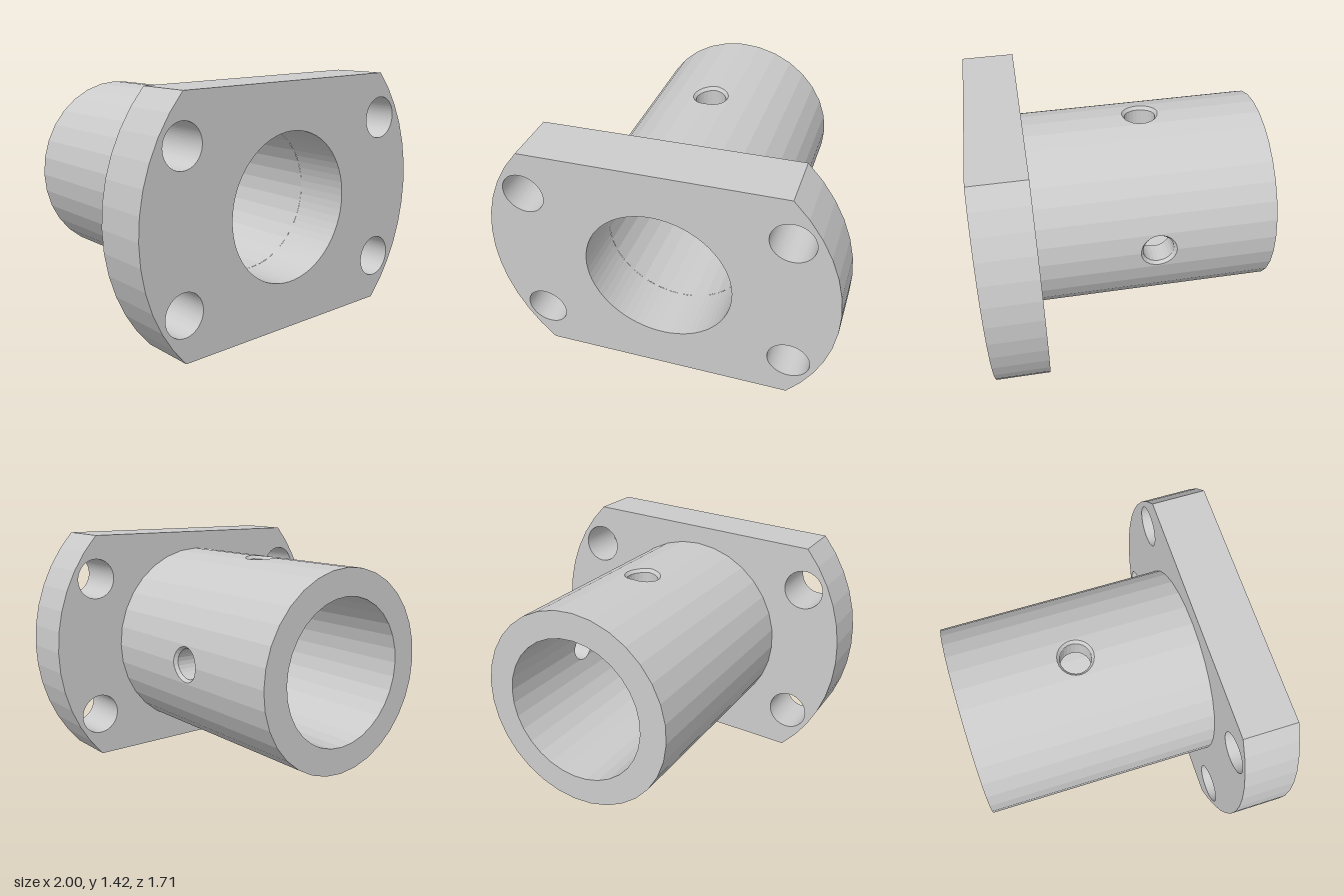
import * as THREE from 'three';

const SIDES = 32, STEP = 2 * Math.PI / SIDES;
const R_OUT = 0.575, R_BORE = 0.42;
const BACK = -0.842, SHOULDER = 0.527, FRONT = 0.842;
const PORT_Z = -0.157, PORTS = [0, Math.PI / 2]; // side port and top port
const RIM_R = 0.104, PORT_R = 0.089, RIM_DEPTH = 0.02, PORT_SIDES = 24;

const material = new THREE.MeshStandardMaterial({ color: 0xcccccc, flatShading: true });

function mesh(name, geometry) {
  const m = new THREE.Mesh(geometry, material);
  m.name = name;
  return m;
}

function fromQuads(quads) {
  const pos = [];
  for (const [a, b, c, d] of quads) for (const p of [a, b, c, a, c, d]) pos.push(...p);
  const g = new THREE.BufferGeometry();
  g.setAttribute('position', new THREE.Float32BufferAttribute(pos, 3));
  g.computeVertexNormals();
  return g;
}

// Point on a faceted cylinder of the given radius
function onTube(radius, angle, z) {
  const off = angle - (Math.floor(angle / STEP + 1e-6) + 0.5) * STEP;
  const r = radius * Math.cos(STEP / 2) / Math.cos(off);
  return [r * Math.cos(angle), r * Math.sin(angle), z];
}

// Tube wall made of lengthwise strips, each split around the round port openings
function wall(radius, hole, inward) {
  let angles = [];
  for (let i = 0; i <= SIDES; i++) angles.push(i * STEP - Math.PI / 4);
  for (const c of PORTS) {
    for (let k = 0; k <= PORT_SIDES / 2; k++) {
      angles.push(c + Math.asin(hole * Math.cos(k * 2 * Math.PI / PORT_SIDES) / radius));
    }
  }
  angles.sort((a, b) => a - b);
  angles = angles.filter((a, i) => i === 0 || a - angles[i - 1] > 1e-5);

  const halfGap = (angle) => {
    let s = 0;
    for (const c of PORTS) {
      if (Math.abs(angle - c) > 1) continue;
      const x = radius * Math.sin(angle - c);
      s = Math.max(s, Math.sqrt(Math.max(0, hole * hole - x * x)));
    }
    return s;
  };

  const quads = [];
  for (let i = 0; i < angles.length - 1; i++) {
    const a = angles[i], b = angles[i + 1];
    const ga = halfGap(a), gb = halfGap(b);
    const P = (angle, z) => onTube(radius, angle, z);
    for (const q of [
      [P(a, BACK), P(b, BACK), P(b, PORT_Z - gb), P(a, PORT_Z - ga)],
      [P(a, PORT_Z + ga), P(b, PORT_Z + gb), P(b, SHOULDER), P(a, SHOULDER)],
    ]) quads.push(inward ? q.reverse() : q);
  }
  return fromQuads(quads);
}

// Chamfered rim and straight side of one radial port
function portWall(centre) {
  const rings = [[R_OUT, RIM_R], [R_OUT - RIM_DEPTH, PORT_R], [R_BORE, PORT_R]];
  const P = ([radius, hole], k) => {
    const t = k * 2 * Math.PI / PORT_SIDES;
    return onTube(radius, centre + Math.asin(hole * Math.cos(t) / radius), PORT_Z + hole * Math.sin(t));
  };
  const quads = [];
  for (let j = 0; j < rings.length - 1; j++) {
    for (let k = 0; k < PORT_SIDES; k++) {
      quads.push([P(rings[j], k), P(rings[j], k + 1), P(rings[j + 1], k + 1), P(rings[j + 1], k)]);
    }
  }
  return fromQuads(quads);
}

// Round plate with two flats, a central bore and four bolt holes
function flangeGeometry() {
  const half = Math.asin(0.685), pts = [];
  for (const side of [0, Math.PI]) {
    for (let i = 0; i <= 12; i++) {
      const a = side - half + 2 * half * i / 12;
      pts.push(new THREE.Vector2(Math.cos(a), Math.sin(a)));
    }
  }
  const shape = new THREE.Shape(pts);
  const circle = (x, y, r) => {
    shape.holes.push(new THREE.Path().absarc(x, y, r, 0, Math.PI * 2, true));
  };
  circle(0, 0, R_BORE);
  for (const sx of [-1, 1]) for (const sy of [-1, 1]) circle(sx * 0.735, sy * 0.424, 0.12);
  const g = new THREE.ExtrudeGeometry(shape, {
    depth: FRONT - SHOULDER, bevelEnabled: false, curveSegments: SIDES,
  });
  return g.translate(0, 0, SHOULDER);
}

export function createModel() {
  const model = new THREE.Group();
  model.name = 'flangedBushing';

  // The whole part sits slightly rolled and pitched
  const body = new THREE.Group();
  body.name = 'bushingBody';
  body.rotation.set(THREE.MathUtils.degToRad(1.25), 0, THREE.MathUtils.degToRad(1.7));
  body.position.y = 0.725;
  model.add(body);

  body.add(mesh('flange', flangeGeometry()));
  body.add(mesh('sleeveOuterWall', wall(R_OUT, RIM_R, false)));
  body.add(mesh('sleeveBore', wall(R_BORE, PORT_R, true)));

  const end = new THREE.RingGeometry(R_BORE, R_OUT, SIDES);
  end.rotateX(Math.PI).translate(0, 0, BACK);
  body.add(mesh('sleeveEnd', end));

  body.add(mesh('sidePort', portWall(PORTS[0])));
  body.add(mesh('topPort', portWall(PORTS[1])));
  return model;
}
